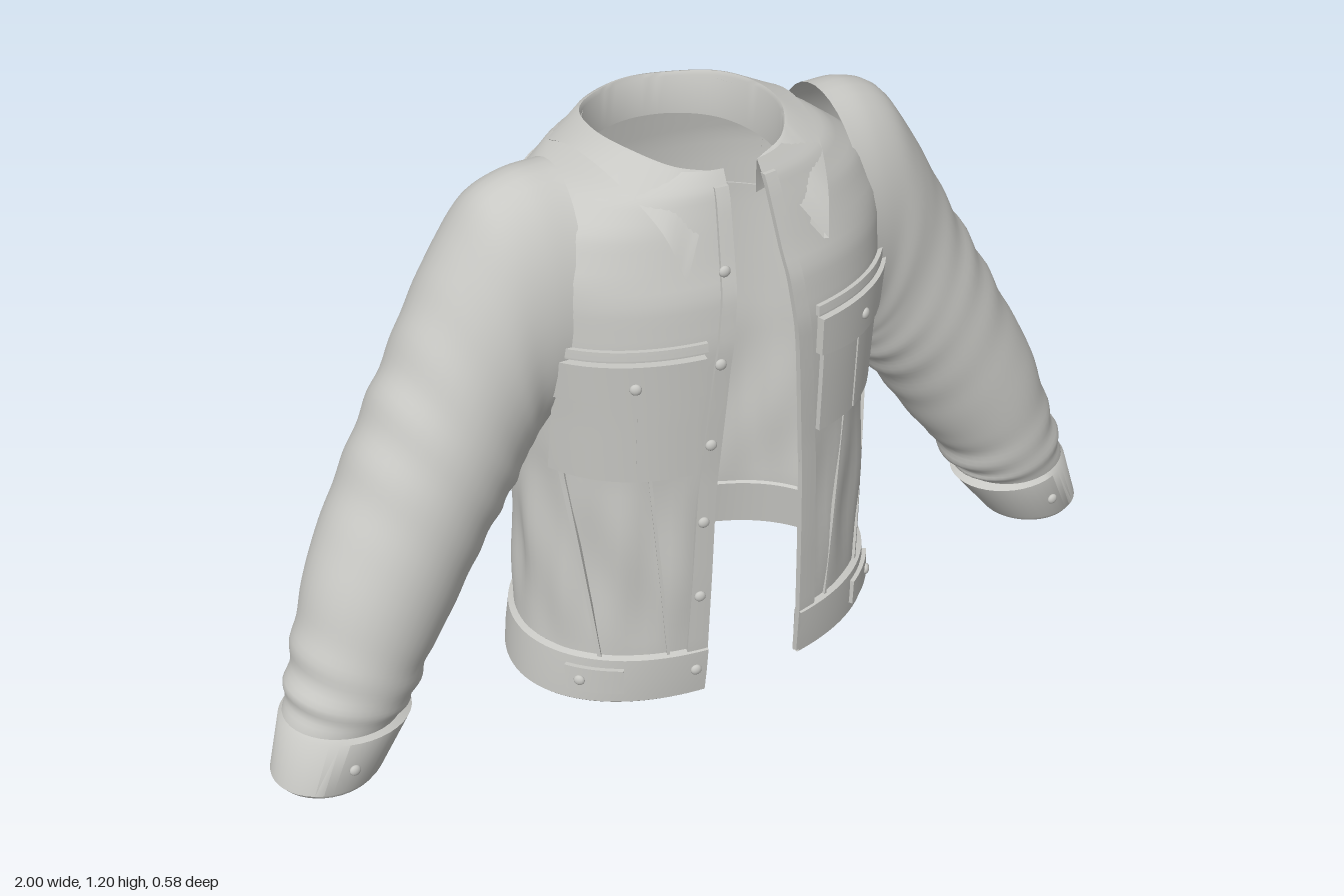
import * as THREE from 'three';
import { toCreasedNormals } from 'three/addons/utils/BufferGeometryUtils.js';

// Torso sections: height, half width, front depth, back depth
const SECTIONS = [
  [0, .405, .25, .275], [.12, .395, .262, .262], [.3, .39, .268, .262], [.55, .39, .272, .265],
  [.7, .4, .278, .267], [.85, .415, .282, .267], [.95, .415, .27, .265], [1.0, .41, .252, .262],
  [1.08, .37, .228, .25], [1.14, .29, .21, .24], [1.175, .19, .19, .225],
];
// Half width of the front opening by height
const OPENING = [[0, .115], [.5, .101], [.8, .078], [1, .053], [1.175, .037]];
// Sleeve rings: upper x, y, lower x, y, front z, back z
const SLEEVE = [
  [.30, 1.178, .36, .64, .16, -.17], [.38, 1.172, .37, .62, .155, -.175], [.45, 1.14, .38, .6, .15, -.18],
  [.51, 1.06, .39, .58, .15, -.185], [.57, .96, .40, .56, .145, -.185], [.64, .83, .425, .52, .15, -.18],
  [.71, .71, .47, .465, .155, -.17], [.78, .58, .53, .38, .16, -.16], [.85, .45, .59, .29, .165, -.14],
  [.90, .31, .645, .22, .165, -.115], [.935, .21, .685, .15, .165, -.09], [.955, .14, .715, .12, .155, -.065],
];
const CUFF = [
  [.95, .14, .72, .125, .15, -.06], [.965, .13, .695, .112, .165, -.075], [.998, .015, .768, .02, .165, -.052],
  [.99, .005, .778, .008, .158, -.045], [.98, .012, .79, .016, .148, -.035], [.945, .13, .72, .12, .145, -.055],
];
// Half collar from front tip to back: fold x, y, z and outer edge x, y, z
const COLLAR = [
  [.05, 1.165, .172, .16, 1.0, .258], [.12, 1.182, .145, .185, 1.09, .212], [.172, 1.2, .07, .225, 1.165, .1],
  [.188, 1.2, -.03, .24, 1.18, -.03], [.16, 1.19, -.14, .222, 1.13, -.17], [.09, 1.18, -.205, .13, 1.068, -.255],
  [0, 1.18, -.228, 0, 1.062, -.276],
];

const val = (f, t) => (typeof f === 'function' ? f(t) : f);

function lookup(table, y) {
  let i = 1;
  while (i < table.length - 1 && table[i][0] < y) i++;
  const t = THREE.MathUtils.clamp((y - table[i - 1][0]) / (table[i][0] - table[i - 1][0]), 0, 1);
  return table[i].map((v, k) => THREE.MathUtils.lerp(table[i - 1][k], v, t));
}
const opening = y => lookup(OPENING, y)[1];

// Point on the torso, pushed outward by off
function onBody(x, y, off = 0, back = false) {
  const [, a, f, b] = lookup(SECTIONS, y);
  const d = back ? b : f, s = Math.min(1, Math.abs(x) / a);
  const z = d * Math.sqrt(1 - Math.pow(s, 2.3)) * (back ? -1 : 1);
  const nx = x / (a * a), nz = z / (d * d), l = Math.hypot(nx, nz) || 1;
  return new THREE.Vector3(x + nx / l * off, y, z + nz / l * off);
}

// One row round the torso, from the left front edge over the back to the right
function bodyRow(y, off, fold = 0) {
  const a = lookup(SECTIONS, y)[1], t0 = Math.asin(opening(y) / a), row = [];
  for (let i = 0; i <= 96; i++) {
    const t = t0 + (2 * Math.PI - 2 * t0) * i / 96;
    const mask = Math.max(0, Math.sin(Math.PI * THREE.MathUtils.clamp((y - .1) / .5, 0, 1)));
    const wave = fold * mask * Math.sin(t * 13 + 5 * y) * Math.sin(t * 5 - 9 * y);
    row.push(onBody(a * Math.sin(t), y, off + wave, Math.cos(t) < 0));
  }
  return row;
}

// Skin over rows of points
function loft(rows, closed = false) {
  const n = rows[0].length, pos = [], idx = [];
  rows.forEach(r => r.forEach(p => pos.push(p.x, p.y, p.z)));
  for (let j = 0; j < rows.length - 1; j++) {
    for (let i = 0; i < (closed ? n : n - 1); i++) {
      const k = (i + 1) % n, a = j * n + i, b = j * n + k, c = a + n, d = b + n;
      idx.push(a, c, b, b, c, d);
    }
  }
  const g = new THREE.BufferGeometry();
  g.setAttribute('position', new THREE.Float32BufferAttribute(pos, 3));
  g.setIndex(idx);
  g.computeVertexNormals();
  return g;
}

// Oval ring spanned between an upper and a lower point
function oval([tx, ty, bx, by, zf, zb], t = 0, crease = 0) {
  const row = [];
  for (let i = 0; i < 40; i++) {
    const w = i / 40 * 2 * Math.PI;
    const bunch = Math.exp(-Math.pow((t - .9) / .09, 2)) + .45 * Math.exp(-Math.pow((t - .52) / .13, 2));
    const k = 1 + crease * bunch * Math.sin(t * 75 + 2 * Math.sin(w + 1)) * (.6 + .4 * Math.cos(w * 2));
    const c = Math.cos(w) * k, s = Math.sin(w) * k;
    row.push(new THREE.Vector3((tx + bx) / 2 + (tx - bx) / 2 * c, (ty + by) / 2 + (ty - by) / 2 * c,
      (zf + zb) / 2 + (zf - zb) / 2 * s));
  }
  return row;
}

// Thin cloth panel lying on the torso with turned-down edges
function panel(x0, x1, y0, y1, off, { back = false, base = -.004, nu = 14, nv = 10 } = {}) {
  const rows = [];
  for (let j = -1; j <= nv + 1; j++) {
    const row = [];
    for (let i = -1; i <= nu + 1; i++) {
      const u = THREE.MathUtils.clamp(i / nu, 0, 1), v = THREE.MathUtils.clamp(j / nv, 0, 1);
      const y = THREE.MathUtils.lerp(val(y0, u), val(y1, u), v);
      const x = THREE.MathUtils.lerp(val(x0, y), val(x1, y), u);
      const rim = i < 0 || j < 0 || i > nu || j > nv;
      row.push(onBody(x, y, rim ? base : off, back));
    }
    rows.push(row);
  }
  return toCreasedNormals(loft(rows), .7);
}

export function createModel() {
  const jacket = new THREE.Group();
  jacket.name = 'jacket';
  const cloth = new THREE.MeshStandardMaterial({ color: 0xc8c8c4, side: THREE.DoubleSide });
  cloth.name = 'grey cloth';
  const add = (name, geo) => {
    const m = new THREE.Mesh(geo, cloth);
    m.name = name;
    jacket.add(m);
    return m;
  };
  const button = (name, p, dir) => {
    const m = add(name, new THREE.SphereGeometry(.012, 14, 10));
    m.scale.z = .6;
    m.position.copy(p);
    m.lookAt(p.clone().add(dir));
  };
  const bodyButton = (name, x, y, off) => {
    const p = onBody(x, y, off);
    button(name, p, p.clone().sub(onBody(x, y, off - .02)));
  };

  // Torso shell and waistband
  const torso = [];
  for (let j = 0; j <= 48; j++) torso.push(bodyRow(1.175 * Math.sin(j / 48 * Math.PI / 2), 0, .009));
  add('torso', loft(torso));
  const band = [[.12, 0], [.115, .013], [.06, .015], [.006, .014], [.002, .01], [.002, -.003], [.115, -.006], [.12, 0]];
  add('waistband', toCreasedNormals(loft(band.map(([y, o]) => bodyRow(y, o))), .7));

  // Collar: inner stand, fold and falling leaf
  const half = COLLAR.map(c => [new THREE.Vector3(c[0], c[1], c[2]), new THREE.Vector3(c[3], c[4], c[5])]);
  const mirrored = half.slice(0, -1).reverse().map(pair => pair.map(p => new THREE.Vector3(-p.x, p.y, p.z)));
  const full = half.concat(mirrored);
  const foldLine = new THREE.CatmullRomCurve3(full.map(p => p[0])).getPoints(72);
  const edgeLine = new THREE.CatmullRomCurve3(full.map(p => p[1])).getPoints(72);
  const shifted = (line, s, dy) => line.map(p => new THREE.Vector3(p.x * s, p.y + dy, p.z * s));
  add('collar', toCreasedNormals(loft([
    foldLine.map(p => new THREE.Vector3(p.x * .98, 1.09, p.z * .98)),
    shifted(foldLine, .98, -.008), foldLine, shifted(foldLine, 1.04, -.003),
    edgeLine, shifted(edgeLine, .965, -.003), shifted(foldLine, 1.03, -.02),
  ]), .9));

  // Yoke and seams on the back
  add('backYoke', panel(-.3, .3, u => .87 + .03 * Math.sin(u * Math.PI), 1.1, .004, { back: true, nu: 30 }));
  for (const x of [-.17, 0, .17]) {
    add('backSeam', panel(y => x * (.8 + .25 * y) - .003, y => x * (.8 + .25 * y) + .003, .12, .88, .004,
      { back: true, nu: 2, nv: 20 }));
  }

  for (const s of [1, -1]) {
    const side = s > 0 ? 'left' : 'right';
    // Panels are always spanned from smaller to larger x
    const strip = (name, a, b, y0, y1, off, opt) => add(side + name, s > 0
      ? panel(a, b, y0, y1, off, opt)
      : panel(y => -val(b, y), y => -val(a, y), y0, y1, off, opt));

    // Front edge
    strip('Placket', opening, y => opening(y) + .045 - .015 * y, .004, 1.15, .008, { nu: 4, nv: 48 });
    // Chest pocket with flap
    strip('FrontYokeSeam', .125, .392, .846, .868, .009);
    strip('PocketFlap', .13, .388, u => .757 - .014 * Math.sin(u * Math.PI), .84, .017);
    strip('Pocket', .142, .372, u => .567 - .004 * Math.sin(u * Math.PI), .765, .01);
    strip('PocketPleat', .247, .253, .567, .76, .013, { nu: 2 });
    bodyButton(side + 'PocketButton', s * .257, .79, .018);
    // Slanting seams below the pocket
    strip('InnerSeam', y => .18 + .08 * y, y => .186 + .08 * y, .115, .565, .006, { nu: 2, nv: 20 });
    strip('OuterSeam', y => .3 + .1 * y, y => .306 + .1 * y, .115, .565, .006, { nu: 2, nv: 20 });
    // Waist tab
    strip('WaistTab', .275, .36, .035, .095, .023, { base: .01 });
    bodyButton(side + 'WaistTabButton', s * .342, .065, .025);

    // Sleeve and cuff
    const up = new THREE.CatmullRomCurve3(SLEEVE.map(r => new THREE.Vector3(r[0], r[1], r[4])));
    const low = new THREE.CatmullRomCurve3(SLEEVE.map(r => new THREE.Vector3(r[2], r[3], r[5])));
    const rows = [];
    for (let j = 0; j <= 80; j++) {
      const a = up.getPoint(j / 80), b = low.getPoint(j / 80);
      rows.push(oval([a.x, a.y, b.x, b.y, a.z, b.z], j / 80, .05));
    }
    const flip = list => list.map(r => r.map(p => new THREE.Vector3(p.x * s, p.y, p.z)));
    add(side + 'Sleeve', loft(flip(rows), true));
    add(side + 'Cuff', toCreasedNormals(loft(flip(CUFF.map(r => oval(r))), true), .8));
    button(side + 'CuffButton', new THREE.Vector3(s * .87, .065, .167), new THREE.Vector3(0, 0, 1));
  }

  // Front buttons on the right edge
  for (const y of [.07, .26, .445, .63, .815, 1.0]) {
    bodyButton('frontButton', -opening(y) - .024, y, y < .12 ? .016 : .01);
  }
  return jacket;
}
